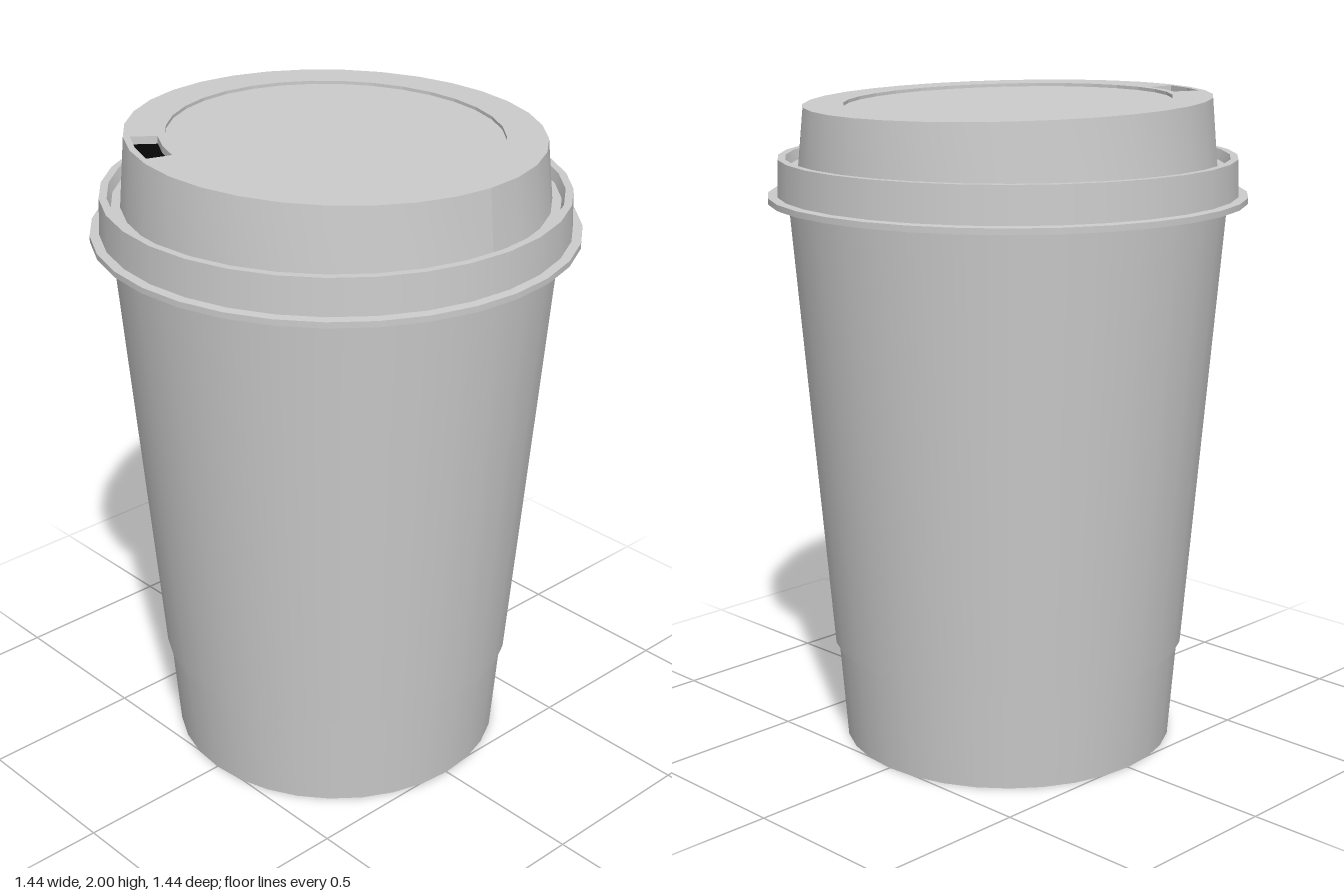
import * as THREE from 'three';
import { mergeGeometries } from 'three/addons/utils/BufferGeometryUtils.js';

const SEGMENTS = 32;
const grey = new THREE.MeshStandardMaterial({ color: 0xcccccc, side: THREE.DoubleSide });
const black = new THREE.MeshStandardMaterial({ color: 0x050505, side: THREE.DoubleSide });

// Turned surface, smooth around the axis with a crisp edge at every profile point
function turned(profile) {
  const bands = [];
  for (let i = 0; i < profile.length - 1; i++) {
    const pair = [profile[i], profile[i + 1]].map(([r, y]) => new THREE.Vector2(r, y));
    bands.push(new THREE.LatheGeometry(pair, SEGMENTS));
  }
  return mergeGeometries(bands);
}

// The lid top rises gently toward the drinking hole
function tilt(geometry) {
  const p = geometry.attributes.position;
  for (let i = 0; i < p.count; i++) {
    if (p.getY(i) < 1.9) continue;
    p.setY(i, p.getY(i) - 0.025 * (0.91 * p.getX(i) + 0.41 * p.getZ(i)));
  }
  geometry.computeVertexNormals();
  return geometry;
}

function circlePoints(radius, from = 0, to = Math.PI * 2, steps = SEGMENTS) {
  const points = [];
  for (let i = 0; i <= steps; i++) {
    const a = from + ((to - from) * i) / steps;
    points.push(new THREE.Vector2(radius * Math.cos(a), radius * Math.sin(a)));
  }
  return points;
}

export function createModel() {
  const group = new THREE.Group();
  const add = (name, geometry, material = grey) => {
    const mesh = new THREE.Mesh(geometry, material);
    mesh.name = name;
    group.add(mesh);
  };

  // Tapered cup with a closed base
  add('cup', turned([[0, 0], [0.513, 0], [0.645, 1.7]]));

  // Sleeve wrapped around the cup
  add('sleeve', turned([[0.53, 0.31], [0.547, 0.31], [0.66, 1.7]]));

  // Lid skirt: thin flange, upright wall, shoulder and groove
  add('lidSkirt', turned([
    [0.645, 1.69], [0.72, 1.69], [0.72, 1.708], [0.692, 1.71],
    [0.688, 1.82], [0.665, 1.82], [0.655, 1.79], [0.628, 1.79],
  ]));

  // Raised wall of the lid
  add('lidWall', tilt(turned([[0.628, 1.79], [0.61, 1.985]])));

  // Raised ring on the lid, pierced by the drinking hole
  const ring = new THREE.Shape(circlePoints(0.61).slice(0, -1));
  ring.holes.push(new THREE.Path(circlePoints(0.49).slice(0, -1)));
  const start = THREE.MathUtils.degToRad(146);
  const end = THREE.MathUtils.degToRad(165);
  const sector = [
    ...circlePoints(0.59, start, end, 2),
    ...circlePoints(0.512, end, start, 2),
  ];
  ring.holes.push(new THREE.Path(sector));
  const ringGeometry = new THREE.ExtrudeGeometry(ring, { depth: 0.025, bevelEnabled: false });
  ringGeometry.rotateX(-Math.PI / 2).translate(0, 1.96, 0);
  add('lidRing', tilt(ringGeometry));

  // Slightly sunken centre of the lid
  const centre = new THREE.CircleGeometry(0.49, SEGMENTS);
  centre.rotateX(-Math.PI / 2).translate(0, 1.975, 0);
  add('lidCentre', tilt(centre));

  // Dark opening below the drinking hole
  const opening = new THREE.ShapeGeometry(new THREE.Shape(sector));
  opening.rotateX(-Math.PI / 2).translate(0, 1.962, 0);
  add('drinkingHole', tilt(opening), black);

  return group;
}
